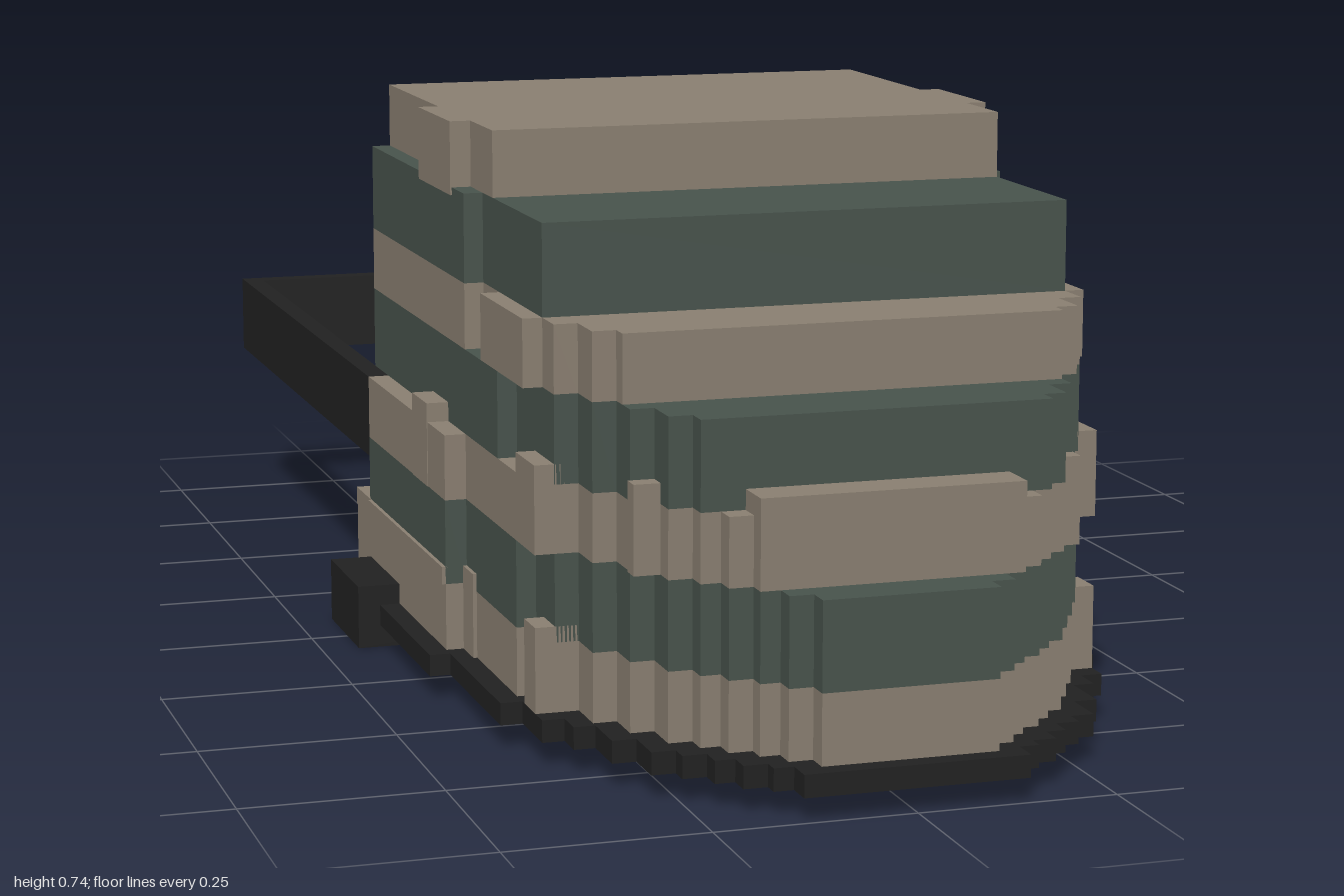
import * as THREE from 'three';

const mat = (name, color) => {
  const m = new THREE.MeshStandardMaterial({ color });
  m.name = name;
  return m;
};

export function createModel() {
  const root = new THREE.Group();
  root.name = 'blockyClog';
  const tan = mat('tan', 0x8a7f71);
  const green = mat('darkGreen', 0x48534c);
  const black = mat('black', 0x212121);
  const grey = mat('grey', 0x808a92);

  const add = (name, geometry, material) => {
    const mesh = new THREE.Mesh(geometry, material);
    mesh.name = name;
    root.add(mesh);
    return mesh;
  };

  // Box given by its limits on each axis
  const box = (name, material, x0, x1, y0, y1, z0, z1) => {
    const g = new THREE.BoxGeometry(x1 - x0, y1 - y0, z1 - z0);
    g.translate((x0 + x1) / 2, (y0 + y1) / 2, (z0 + z1) / 2);
    return add(name, g, material);
  };
  const pair = (name, material, x0, x1, ...rest) => {
    box(name + 'Left', material, x0, x1, ...rest);
    box(name + 'Right', material, -x1, -x0, ...rest);
  };

  // Slab with a stair-stepped toe: steps are [half width, front z]
  const slab = (name, material, steps, back, front, y0, y1) => {
    const side = [];
    let z = back;
    for (const [w, end] of steps) {
      if (z >= front - 0.001) break;
      const e = Math.min(end, front);
      side.push([w, z], [w, e]);
      z = e;
    }
    const outline = [...side, ...side.map(([w, d]) => [-w, d]).reverse()];
    const shape = new THREE.Shape(outline.map(([x, d]) => new THREE.Vector2(x, -d)));
    const g = new THREE.ExtrudeGeometry(shape, { depth: y1 - y0, bevelEnabled: false });
    g.rotateX(-Math.PI / 2);
    g.translate(0, y0, 0);
    return add(name, g, material);
  };

  const toe = [[0.31, 0.72], [0.28, 0.775], [0.25, 0.83], [0.22, 0.86], [0.195, 0.89],
    [0.165, 0.915], [0.14, 0.945], [0.11, 0.975]];
  const lower = [[0.393, 0.33], [0.365, 0.575], [0.34, 0.66], ...toe];
  const middle = [[0.365, 0.49], [0.34, 0.66], ...toe];
  const upper = [[0.365, 0.33], [0.34, 0.66], ...toe];
  const top = [[0.34, 0.38]];
  const soleSteps = [[0.42, 0.35], [0.393, 0.6], [0.365, 0.69], [0.337, 0.73], [0.31, 0.80],
    [0.28, 0.86], [0.25, 0.885], [0.22, 0.915], [0.195, 0.945], [0.165, 0.965], [0.14, 1]];

  // Sole and the crossbar beneath it
  slab('sole', black, soleSteps, -0.18, 1, 0.03, 0.058);
  box('soleCrossbar', black, -0.45, 0.45, 0, 0.085, -0.1, 0.07);

  // Striped body, from the sole up
  slab('bodyStripe1', tan, lower, -0.18, 0.975, 0.058, 0.145);
  slab('bodyStripe2', green, lower, -0.1, 0.975, 0.145, 0.255);
  slab('bodyStripe3', tan, lower, -0.1, 0.915, 0.255, 0.34);
  slab('bodyStripe4', green, middle, -0.18, 0.86, 0.34, 0.45);
  slab('bodyStripe5', tan, upper, -0.18, 0.745, 0.45, 0.535);
  slab('bodyStripe6', green, upper, -0.18, 0.61, 0.535, 0.65);
  slab('bodyStripe7', tan, top, -0.18, 0.38, 0.65, 0.735);

  // Lip of the third stripe, and raised heel corners
  box('toeLip', tan, -0.165, 0.165, 0.34, 0.365, 0.86, 0.915);
  pair('heelCorner', tan, 0.3, 0.394, 0.145, 0.168, -0.18, -0.09);
  box('heelSill', green, -0.3, 0.3, 0.145, 0.168, -0.18, -0.1);

  // Small raised blocks along the sides
  pair('lowerTab', tan, 0.35, 0.398, 0.145, 0.168, -0.09, 0.33);
  pair('lowerTab', tan, 0.33, 0.37, 0.058, 0.168, 0.33, 0.38);
  pair('lowerTab', tan, 0.31, 0.365, 0.058, 0.165, 0.61, 0.66);
  pair('middleTab', tan, 0.34, 0.394, 0.255, 0.365, 0.16, 0.24);
  pair('middleTab', tan, 0.31, 0.365, 0.255, 0.365, 0.575, 0.66);
  pair('middleTab', tan, 0.25, 0.283, 0.255, 0.365, 0.775, 0.8);
  pair('upperTab', tan, 0.31, 0.365, 0.45, 0.535, 0.41, 0.61);
  pair('topTab', tan, 0.3, 0.367, 0.64, 0.735, 0.1, 0.27);

  // Green panels on the back
  box('backPanelLow', green, -0.29, 0.29, 0.058, 0.168, -0.185, -0.178);
  box('backPanelMiddle', green, -0.29, 0.29, 0.168, 0.34, -0.105, -0.098);
  box('backPanelHigh', green, -0.29, 0.29, 0.34, 0.65, -0.185, -0.178);

  // Heel strap with its buckle
  pair('strapSide', black, 0.365, 0.393, 0.228, 0.34, -1, -0.1);
  box('strapBack', black, -0.366, 0.366, 0.228, 0.34, -1, -0.972);
  box('buckle', grey, 0.393, 0.42, 0.226, 0.365, -0.325, -0.21);

  return root;
}
